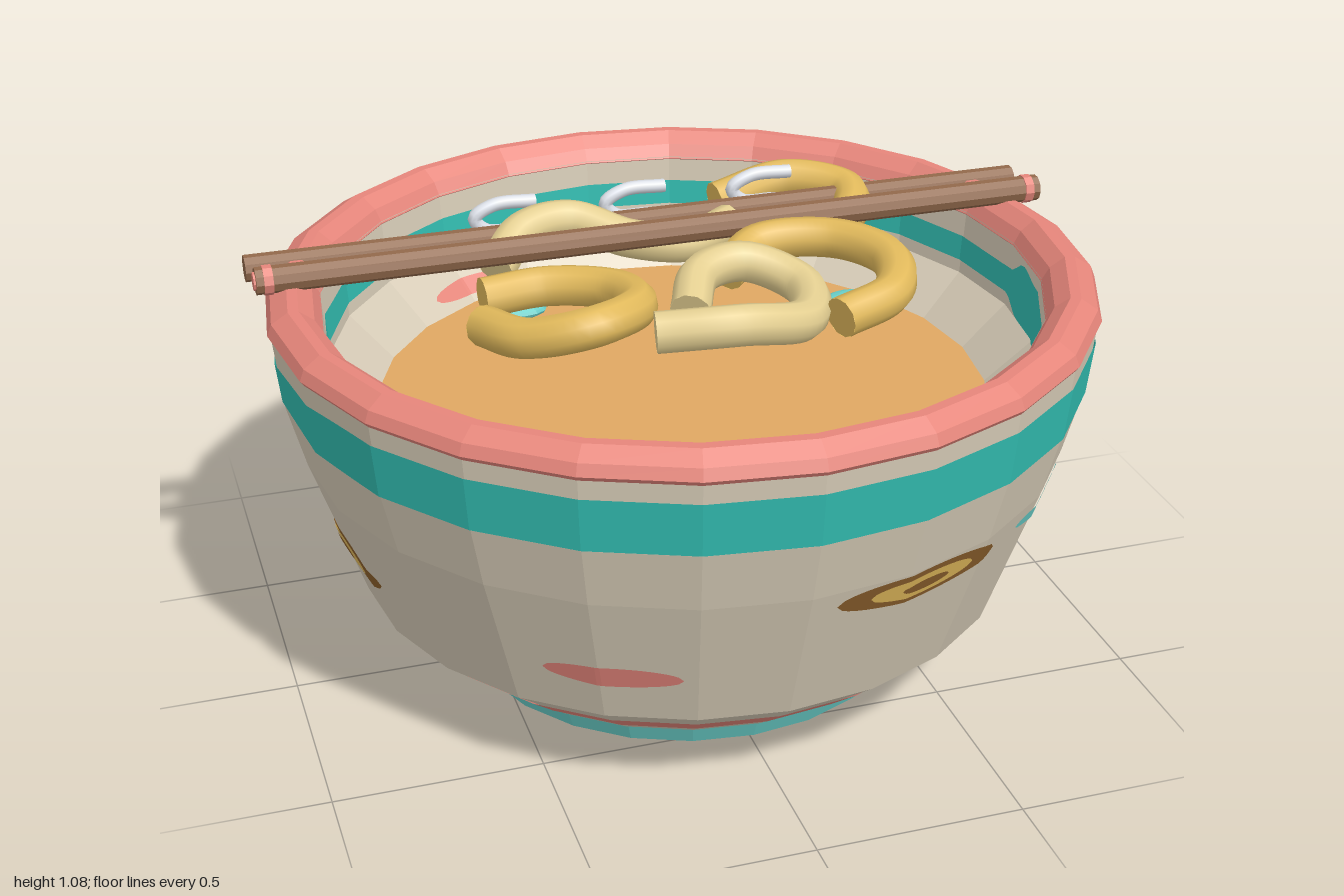
import * as THREE from 'three';

const SIDES = 24;
const mat = (name, color) => {
  const m = new THREE.MeshStandardMaterial({ color, side: THREE.DoubleSide });
  m.name = name;
  return m;
};

export function createModel() {
  const root = new THREE.Group();
  const cream = mat('creamGlaze', 0xd8cdb8);
  const teal = mat('tealPaint', 0x32bcb0);
  const aqua = mat('aquaGlaze', 0x6ad0ca);
  const coral = mat('coralGlaze', 0xe6867b);
  const broth = mat('broth', 0xe0a862);
  const wood = mat('wood', 0x92694b);
  const gold = mat('goldNoodle', 0xe2ba5c);
  const pale = mat('paleNoodle', 0xe5d092);
  const silver = mat('silver', 0xdce0e8);
  const brown = mat('brownPaint', 0x8c602c);
  [cream, teal, aqua, coral, wood].forEach((m) => { m.flatShading = true; });

  const add = (name, geo, material, parent = root) => {
    const mesh = new THREE.Mesh(geo, material);
    mesh.name = name;
    parent.add(mesh);
    return mesh;
  };
  const lathe = (name, pts, material) =>
    add(name, new THREE.LatheGeometry(pts.map((p) => new THREE.Vector2(...p)), SIDES), material);

  // Bowl walls, foot and rim; profiles are [radius, height]
  const outer = [[0.605, 0.08], [0.805, 0.245], [0.928, 0.61], [0.968, 0.765], [0.988, 0.95]];
  const inner = [[0.46, 0.07], [0.62, 0.25], [0.7, 0.56], [0.745, 0.68], [0.855, 0.785], [0.868, 0.95]];
  lathe('outerWall', [[0.56, 0.075], ...outer], cream);
  lathe('innerWall', inner, cream);
  lathe('foot', [[0.46, 0.085], [0.43, 0.05], [0.445, 0.015], [0.48, 0], [0.525, 0],
    [0.565, 0.02], [0.59, 0.075], [0.56, 0.09], [0.46, 0.085]], aqua);
  lathe('rim', [[0.88, 0.925], [0.866, 0.945], [0.885, 0.98], [0.92, 1.007], [0.945, 1.007],
    [0.985, 0.982], [0.996, 0.955], [0.985, 0.94], [0.88, 0.925]], coral);

  // Radius of a faceted wall at an angle (0 is the front) and height
  const wallRadius = (profile, a, y) => {
    let i = 0;
    while (i < profile.length - 2 && y > profile[i + 1][1]) i++;
    const [r0, y0] = profile[i], [r1, y1] = profile[i + 1];
    const step = (2 * Math.PI) / SIDES;
    const off = a - (Math.floor(a / step) + 0.5) * step;
    return (r0 + ((r1 - r0) * (y - y0)) / (y1 - y0)) * Math.cos(step / 2) / Math.cos(off);
  };

  // Thin painted strip following a wall between two height rules
  const paint = (name, profile, a0, a1, n, low, high, lift, material) => {
    const pos = [], index = [];
    for (let i = 0; i <= n; i++) {
      const a = a0 + ((a1 - a0) * i) / n;
      for (const y of [low(a), high(a)]) {
        const r = wallRadius(profile, a, y) + lift;
        pos.push(r * Math.sin(a), y, r * Math.cos(a));
      }
      const k = 2 * i;
      if (i < n) {
        if (lift > 0) index.push(k, k + 2, k + 1, k + 1, k + 2, k + 3);
        else index.push(k, k + 1, k + 2, k + 1, k + 3, k + 2);
      }
    }
    const g = new THREE.BufferGeometry();
    g.setAttribute('position', new THREE.Float32BufferAttribute(pos, 3));
    g.setIndex(index);
    g.computeVertexNormals();
    add(name, g, material);
  };

  // Bands: wide teal in front and narrow behind, the coral one the other way
  const ss = THREE.MathUtils.smoothstep;
  const back = (a) => ss(a, 1.45, 1.56) * (1 - ss(a, 4.2, 5.2));
  const bump = (a) => 0.018 * Math.exp(-(((a - 1.44) / 0.07) ** 2));
  const band = (name, profile, low, high, lowShift, highShift, lift, material) =>
    paint(name, profile, 0, 2 * Math.PI, 192, (a) => low + lowShift * back(a),
      (a) => high + highShift * back(a) + bump(a), lift, material);
  band('outerTealBand', outer, 0.768, 0.898, 0.032, -0.033, 0.004, teal);
  band('outerCoralBand', outer, 0.12, 0.19, -0.02, 0.03, 0.004, coral);
  band('innerTealBand', inner, 0.79, 0.915, 0.03, -0.03, -0.004, teal);
  band('innerCoralBand', inner, 0.265, 0.32, -0.01, 0.015, -0.004, coral);

  // Painted oval spots
  const spot = (name, profile, a, y, hw, hh, lift, material) => {
    const h = (t) => hh * Math.sqrt(Math.max(0, 1 - ((t - a) / hw) ** 2));
    paint(name, profile, a - hw, a + hw, 28, (t) => y - h(t), (t) => y + h(t), lift, material);
  };
  const eyeSpot = (profile, a, y, hh, s) => {
    spot('spotEdge', profile, a, y, 0.25, hh, 0.003 * s, brown);
    spot('spotRing', profile, a, y, 0.16, hh * 0.68, 0.0055 * s, gold);
    spot('spotCentre', profile, a, y, 0.075, hh * 0.33, 0.008 * s, brown);
  };
  eyeSpot(outer, 0.32, 0.567, 0.042, 1);
  eyeSpot(outer, 2.8, 0.567, 0.042, 1);
  eyeSpot(outer, 4.78, 0.41, 0.042, 1);
  eyeSpot(inner, 0.33, 0.713, 0.025, -1);
  eyeSpot(inner, 2.78, 0.713, 0.025, -1);
  spot('aquaSpot', outer, 0.87, 0.567, 0.185, 0.02, 0.004, aqua);
  spot('aquaSpot', outer, 2.36, 0.38, 0.2, 0.022, 0.004, aqua);
  spot('coralSpot', outer, -0.49, 0.38, 0.19, 0.03, 0.004, coral);
  spot('coralSpot', outer, 3.65, 0.565, 0.19, 0.026, 0.004, coral);
  spot('innerAquaSpot', inner, 0.88, 0.713, 0.06, 0.015, -0.004, aqua);
  spot('innerCoralSpot', inner, 3.65, 0.715, 0.17, 0.018, -0.004, coral);

  // Broth disc
  const soup = add('broth', new THREE.CylinderGeometry(0.746, 0.72, 0.07, SIDES), broth);
  soup.position.y = 0.645;

  // Tube along points, closed with flat ends
  const cappedTube = (name, pts, radius, material) => {
    const g = new THREE.Group();
    g.name = name;
    root.add(g);
    const curve = new THREE.CatmullRomCurve3(pts.map((p) => new THREE.Vector3(...p)));
    add(name + 'Body', new THREE.TubeGeometry(curve, 48, radius, 10), material, g);
    for (const t of [0, 1]) {
      const cap = add(name + 'End', new THREE.CircleGeometry(radius, 10), material, g);
      const dir = curve.getTangent(t).multiplyScalar(t ? 1 : -1);
      cap.position.copy(curve.getPoint(t));
      cap.quaternion.setFromUnitVectors(new THREE.Vector3(0, 0, 1), dir);
    }
  };

  // Noodles
  const noodles = [
    [gold, [[-0.48, 0.96, -0.05], [-0.32, 0.965, -0.06], [-0.18, 0.98, 0.04], [-0.17, 1, 0.19],
      [-0.3, 1.01, 0.29], [-0.44, 0.97, 0.22], [-0.51, 0.95, 0.08]]],
    [pale, [[-0.41, 0.96, -0.21], [-0.32, 1.01, -0.3], [-0.19, 1.015, -0.33], [-0.06, 0.98, -0.25],
      [0.08, 0.97, -0.205], [0.21, 0.98, -0.27]]],
    [gold, [[0.22, 0.98, -0.42], [0.42, 1.01, -0.45], [0.55, 1, -0.35], [0.5, 0.98, -0.22], [0.34, 0.97, -0.2]]],
    [gold, [[0.11, 0.97, 0], [0.22, 1, -0.08], [0.4, 1.01, -0.03], [0.48, 1.01, 0.13],
      [0.43, 0.99, 0.27], [0.28, 0.97, 0.33]]],
    [pale, [[-0.04, 0.97, 0.19], [0.02, 1.01, 0.08], [0.14, 1.015, 0.05], [0.25, 0.98, 0.15],
      [0.2, 0.97, 0.31], [0.02, 1.01, 0.38], [-0.17, 1, 0.34]]],
  ];
  noodles.forEach(([m, path]) => cappedTube('noodle', path, 0.049, m));

  // Chopsticks; the front one has coral collars and tips
  const rod = (name, x, y, z, r, len, m) => {
    const c = add(name, new THREE.CylinderGeometry(r, r, len, 10), m);
    c.rotation.z = Math.PI / 2;
    c.position.set(x, y, z);
  };
  rod('backChopstick', 0, 0.99, -0.322, 0.033, 2, wood);
  rod('frontChopstick', 0, 1.025, -0.158, 0.033, 1.99, wood);
  for (const s of [-1, 1]) {
    rod('chopstickCollar', s * 0.966, 1.025, -0.158, 0.036, 0.022, coral);
    rod('chopstickTip', s * 0.996, 1.025, -0.158, 0.022, 0.008, coral);
  }

  // Bent silver hooks over the back chopstick
  const hook = [[0.075, 0.06], [-0.03, 0.06], [-0.08, 0.03], [-0.05, -0.005], [0.045, -0.015], [0.065, -0.045], [-0.03, -0.065]];
  for (const x of [-0.345, -0.01, 0.325]) {
    cappedTube('hook', hook.map(([u, v]) => [x + u, 1.003 + v, -0.362]), 0.017, silver);
  }

  // Small garnish pieces
  for (const [x, z] of [[0.075, -0.43], [-0.37, -0.13], [0.41, 0.05]]) {
    const bit = add('garnish', new THREE.SphereGeometry(1, 12, 8), aqua);
    bit.scale.set(0.065, 0.018, 0.042);
    bit.position.set(x, 0.88, z);
  }
  return root;
}
